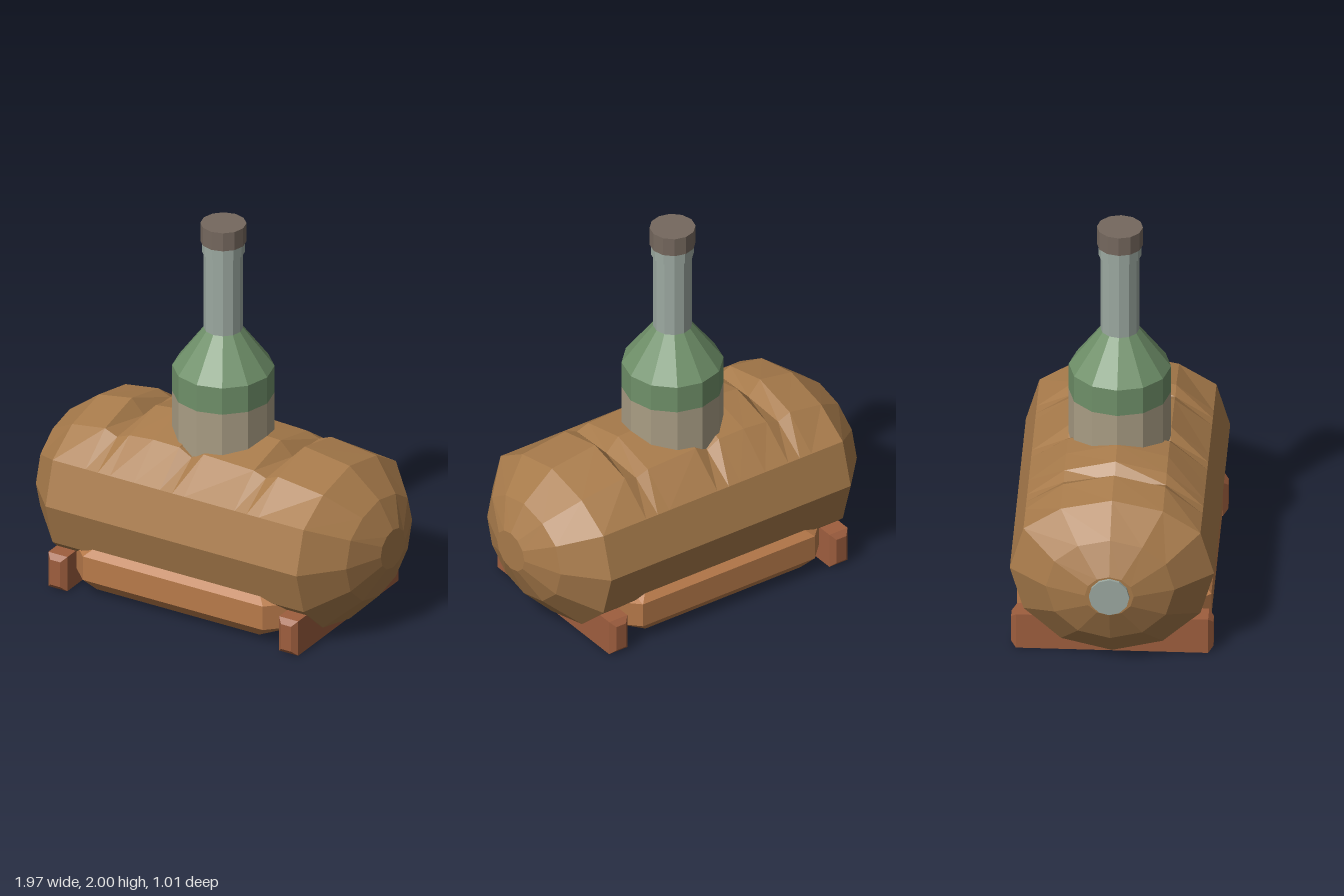
import * as THREE from 'three';

const mat = (name, color) => {
  const m = new THREE.MeshStandardMaterial({ color });
  m.name = name;
  return m;
};

// Closed faceted skin through rings of [x, y, z] points, capped at both ends.
function loft(rings) {
  const n = rings[0].length, pos = [];
  const tri = (a, b, c) => pos.push(...a, ...b, ...c);
  for (let i = 0; i < rings.length - 1; i++) {
    for (let k = 0; k < n; k++) {
      const j = (k + 1) % n, r = rings[i], s = rings[i + 1];
      tri(r[k], s[k], s[j]);
      tri(r[k], s[j], r[j]);
    }
  }
  const first = rings[0], last = rings[rings.length - 1];
  for (let k = 1; k < n - 1; k++) {
    tri(first[0], first[k], first[k + 1]);
    tri(last[0], last[k + 1], last[k]);
  }
  const g = new THREE.BufferGeometry();
  g.setAttribute('position', new THREE.Float32BufferAttribute(pos, 3));
  g.computeVertexNormals();
  return g;
}

// Faceted copy of a built-in geometry.
function facet(geometry) {
  const g = geometry.toNonIndexed();
  g.computeVertexNormals();
  return g;
}

export function createModel() {
  const model = new THREE.Group();
  const crust = mat('crust brown', 0xa87b4b);
  const plank = mat('orange wood', 0xb87a4a);
  const wood = mat('red wood', 0x9e5e3e);
  const glass = mat('bottle green', 0x6f9069);
  const paper = mat('label beige', 0xa99d84);
  const pale = mat('pale grey green', 0x9cA9a1);
  const cork = mat('cork brown', 0x75685e);

  const add = (name, geometry, material, x = 0, y = 0, z = 0) => {
    const mesh = new THREE.Mesh(geometry, material);
    mesh.name = name;
    mesh.position.set(x, y, z);
    model.add(mesh);
    return mesh;
  };

  // Barrel-shaped body: twelve-sided rings along x, [x, scale, upper radius, notched]
  const sections = [
    [-0.97, 0.24, 0.45], [-0.89, 0.63, 0.43], [-0.72, 1, 0.4],
    [-0.53, 1, 0.432], [-0.46, 1, 0.432, true], [-0.39, 1, 0.43],
    [-0.25, 1, 0.445], [-0.1, 1, 0.442], [-0.03, 1, 0.44, true], [0.04, 1, 0.44],
    [0.33, 1, 0.427], [0.4, 1, 0.427, true], [0.47, 1, 0.43],
    [0.73, 1, 0.392], [0.9, 0.62, 0.4], [0.98, 0.23, 0.45],
  ];
  const bodyRings = sections.map(([x, s, upper, notched]) => {
    const ring = [];
    for (let k = 0; k < 12; k++) {
      const a = (k * Math.PI) / 6;
      const sy = Math.sin(a);
      let y = 0.455 + sy * s * (sy > 0.6 ? upper : 0.455);
      if (notched && sy > 0.6) y = sy > 0.95 ? 0.81 : 0.8;
      ring.push([x, y, 0.505 * s * Math.cos(a)]);
    }
    return ring;
  });
  add('body', loft(bodyRings), crust);

  // Small plate on the right end
  const plate = add('endPlate', facet(new THREE.CylinderGeometry(0.1, 0.1, 0.03, 12)), pale, -0.97, 0.455, 0);
  plate.rotation.z = Math.PI / 2;

  // Bevelled tray under the body
  const tray = [[0.03, 0.05], [0.09, 0], [0.22, 0], [0.265, 0.05]].map(([y, d]) => {
    const X = 0.61 - d * 1.6, x = 0.52 - d, Z = 0.48 - d, z = 0.39 - d;
    return [[x, Z], [-x, Z], [-X, z], [-X, -z], [-x, -Z], [x, -Z], [X, -z], [X, z]]
      .map(([px, pz]) => [px, y, pz]);
  });
  add('tray', loft(tray), plank);

  // Cross rails with bevelled ends
  const rail = [[-0.5, 0.026], [-0.475, 0], [0.475, 0], [0.5, 0.026]].map(([z, d]) =>
    [[1, 1], [1, -1], [-1, -1], [-1, 1]].map(([u, v]) => [u * (0.055 - d), v * (0.095 - d), z]));
  for (const [name, x] of [['leftRail', 0.667], ['rightRail', -0.667]]) {
    add(name, loft(rail), wood, x, 0.095, 0);
  }

  // Round foot beneath the tray
  add('foot', facet(new THREE.CylinderGeometry(0.3, 0.33, 0.035, 16)), pale, 0, 0.0185, 0);

  // Bottle: label, shoulder, neck, collar and stopper
  const cyl = (r, y0, y1) =>
    facet(new THREE.CylinderGeometry(r, r, y1 - y0, 12)).translate(0, (y0 + y1) / 2, 0);
  add('bottleLabel', cyl(0.253, 0.7, 1.065), paper);
  const shoulder = [[0.253, 1.065], [0.253, 1.21], [0.097, 1.42]].map(([r, y]) => new THREE.Vector2(r, y));
  add('bottleShoulder', facet(new THREE.LatheGeometry(shoulder, 12)), glass);
  add('bottleNeck', cyl(0.097, 1.41, 1.85), pale);
  add('bottleCollar', cyl(0.106, 1.84, 1.9), pale);
  add('stopper', cyl(0.114, 1.9, 2), cork);

  return model;
}
